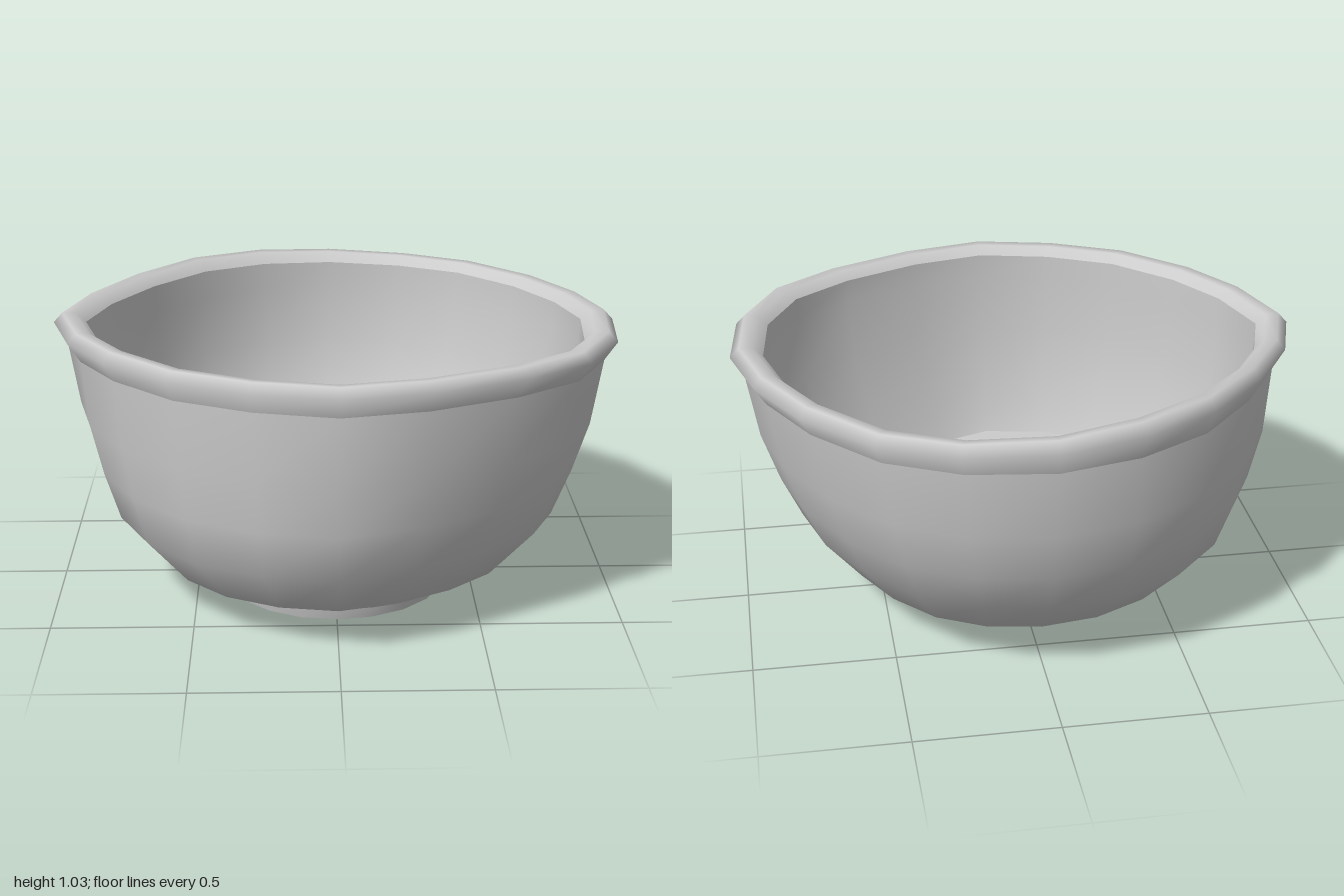
import * as THREE from 'three';

const SIDES = 20;

// Hand-shaped outlines, seen from above, running from +x towards +z
const rimOutline = [
  [1, 0], [0.97, 0.3], [0.84, 0.55], [0.61, 0.72], [0.3, 0.86],
  [0, 0.925], [-0.29, 0.86], [-0.56, 0.73], [-0.78, 0.51], [-0.92, 0.28],
  [-1, 0], [-0.92, -0.25], [-0.76, -0.5], [-0.55, -0.72], [-0.29, -0.86],
  [0, -0.925], [0.31, -0.885], [0.57, -0.76], [0.79, -0.52], [0.93, -0.26],
].map(([x, z]) => [x, z / 0.925]);

const floorOutline = [
  [0.68, 0.02], [0.675, 0.2], [0.6, 0.37], [0.43, 0.52], [0.22, 0.65],
  [0, 0.73], [-0.22, 0.69], [-0.42, 0.59], [-0.57, 0.43], [-0.67, 0.21],
  [-0.69, 0], [-0.665, -0.2], [-0.575, -0.38], [-0.42, -0.54], [-0.22, -0.635],
  [0, -0.665], [0.2, -0.63], [0.37, -0.54], [0.51, -0.38], [0.62, -0.19],
].map(([x, z]) => [x / 0.685, (z - 0.03) / 0.6975]);

const roundOutline = floorOutline.map((_, i) => {
  const a = (i / SIDES) * Math.PI * 2;
  return [Math.cos(a), Math.sin(a)];
});

// One ring: height, half width, half depth, z offset, two outlines and their blend
function ring(y, hx, hz, oz, from, to, blend, bump = 0) {
  return from.map(([x, z], i) => {
    const a = (i / SIDES) * Math.PI * 2;
    const lift = bump * Math.max(0, Math.cos(a + 2.1)) ** 5;
    return [
      hx * THREE.MathUtils.lerp(x, to[i][0], blend),
      y + lift,
      oz + hz * THREE.MathUtils.lerp(z, to[i][1], blend),
    ];
  });
}

function makeMesh(name, points, index) {
  const geometry = new THREE.BufferGeometry();
  geometry.setAttribute('position', new THREE.Float32BufferAttribute(points.flat(), 3));
  geometry.setIndex(index);
  geometry.computeVertexNormals();
  const mesh = new THREE.Mesh(geometry, new THREE.MeshStandardMaterial({ color: 0xcccccc }));
  mesh.name = name;
  return mesh;
}

// Smooth skin through a stack of rings
function loft(name, rings) {
  const index = [];
  for (let j = 0; j < rings.length - 1; j++) {
    for (let i = 0; i < SIDES; i++) {
      const a = j * SIDES + i;
      const b = j * SIDES + ((i + 1) % SIDES);
      index.push(a, a + SIDES, b, b, a + SIDES, b + SIDES);
    }
  }
  return makeMesh(name, rings.flat(), index);
}

// Flat disc filling a ring, facing up or down
function cap(name, points, up) {
  const centre = [0, points[0][1], (points[5][2] + points[15][2]) / 2];
  const index = [];
  for (let i = 0; i < SIDES; i++) {
    const n = (i + 1) % SIDES;
    index.push(SIDES, up ? n : i, up ? i : n);
  }
  return makeMesh(name, [...points, centre], index);
}

export function createModel() {
  const group = new THREE.Group();
  group.name = 'bowl';

  const wall = (y, hx, hz, oz, blend, bump) =>
    ring(y, hx, hz, oz, floorOutline, rimOutline, blend, bump);

  const footBottom = ring(0, 0.405, 0.405, 0.045, roundOutline, roundOutline, 0);
  const footTop = ring(0.04, 0.415, 0.415, 0.045, roundOutline, roundOutline, 0);
  const lipUnder = wall(0.9, 0.955, 0.905, 0, 1);
  const lipEdge = wall(0.965, 1, 0.925, 0, 1, 0.02);
  const floorRing = wall(0.24, 0.685, 0.6975, 0.03, 0);

  // Foot and outer wall
  group.add(cap('footBase', footBottom, false));
  group.add(loft('foot', [footBottom, footTop]));
  group.add(loft('outerWall', [
    footTop,
    ring(0.14, 0.635, 0.643, 0.042, roundOutline, floorOutline, 0.6),
    wall(0.31, 0.785, 0.795, 0.035, 0.1),
    wall(0.475, 0.855, 0.85, 0.01, 0.4),
    wall(0.66, 0.915, 0.89, 0, 0.7),
    lipUnder,
  ]));

  // Flared lip, slightly raised at the back
  const lipInner = wall(0.965, 0.885, 0.8375, 0, 1, 0.02);
  group.add(loft('lip', [
    lipUnder,
    lipEdge,
    wall(1, 0.968, 0.9, 0, 1, 0.03),
    wall(0.998, 0.92, 0.865, 0, 1, 0.03),
    lipInner,
  ]));

  // Inner wall and floor
  group.add(loft('innerWall', [
    lipInner,
    wall(0.88, 0.88, 0.835, 0, 1),
    wall(0.66, 0.85, 0.825, 0, 0.7),
    wall(0.475, 0.79, 0.785, 0.01, 0.4),
    wall(0.33, 0.73, 0.735, 0.025, 0.15),
    floorRing,
  ]));
  group.add(cap('innerFloor', floorRing, true));

  return group;
}
